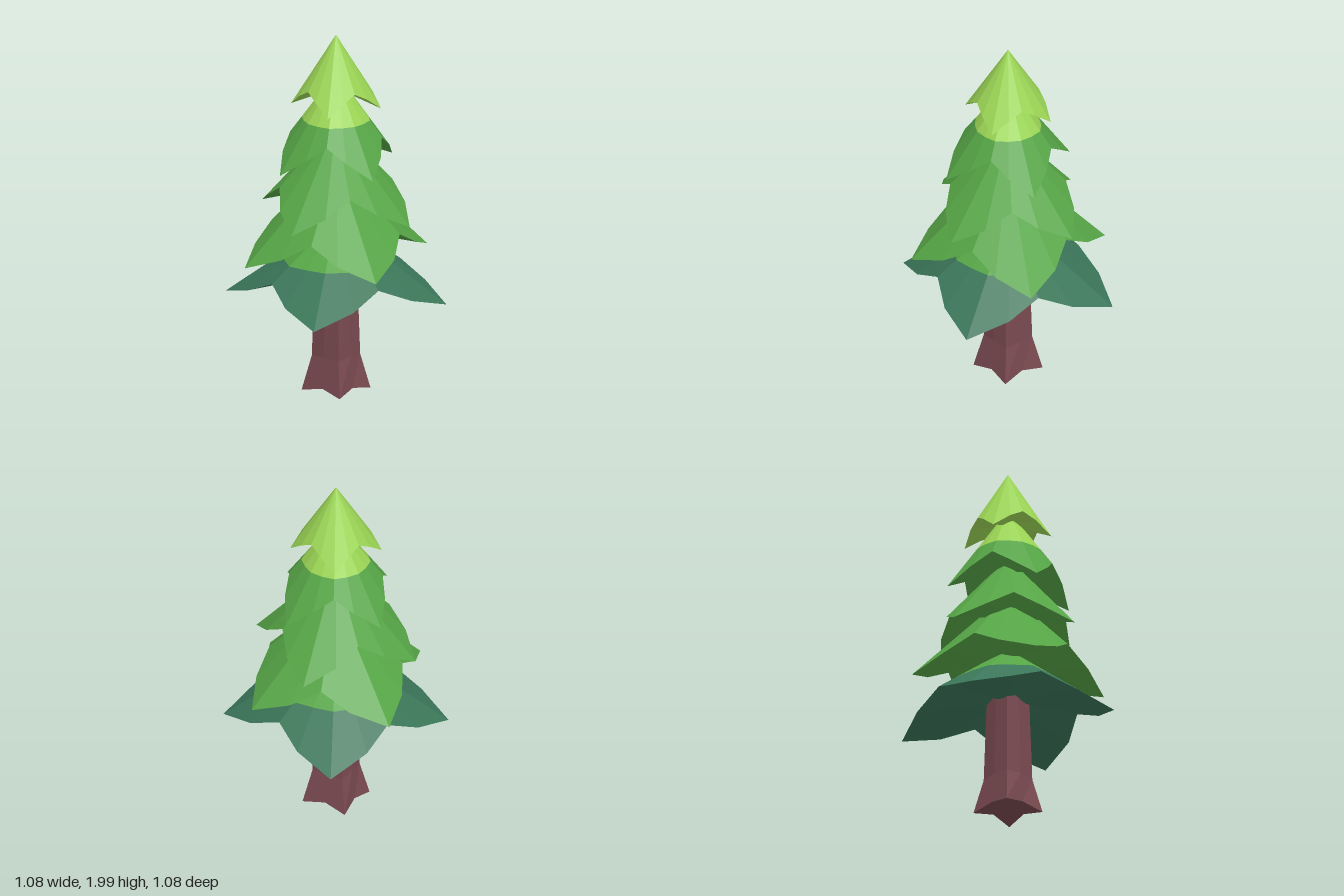
import * as THREE from 'three';

const paint = (name, color) => {
  const m = new THREE.MeshStandardMaterial({ color, flatShading: true });
  m.name = name;
  return m;
};

// Flat-shaded skin over a list of rings, ordered from top to bottom
function loft(rings) {
  const pos = [];
  const tri = (a, b, c) => {
    const n = b.clone().sub(a).cross(c.clone().sub(a));
    if (n.length() > 1e-9) for (const p of [a, b, c]) pos.push(p.x, p.y, p.z);
  };
  for (let r = 0; r < rings.length - 1; r++) {
    const t = rings[r], b = rings[r + 1];
    for (let i = 0; i < t.length; i++) {
      const j = (i + 1) % t.length;
      tri(t[i], b[j], b[i]);
      tri(t[i], t[j], b[j]);
    }
  }
  const g = new THREE.BufferGeometry();
  g.setAttribute('position', new THREE.Float32BufferAttribute(pos, 3));
  g.computeVertexNormals();
  return g;
}

// Ring with four-fold symmetry: one quarter given as [radius, y] pairs
function star(quarter, degrees) {
  const n = quarter.length * 4;
  return Array.from({ length: n }, (_, i) => {
    const [r, y] = quarter[i % quarter.length];
    const a = THREE.MathUtils.degToRad(degrees) + (i / n) * Math.PI * 2;
    return new THREE.Vector3(Math.cos(a) * r, y, Math.sin(a) * r);
  });
}

const point = (y, n) => Array.from({ length: n }, () => new THREE.Vector3(0, y, 0));

export function createModel() {
  const tree = new THREE.Group();
  tree.name = 'tree';
  const lime = paint('lime green', 0x9bd555);
  const green = paint('leaf green', 0x56a546);
  const teal = paint('deep teal green', 0x3b7659);
  const bark = paint('bark brown', 0x7a4a50);

  const add = (name, rings, material) => {
    const mesh = new THREE.Mesh(loft(rings), material);
    mesh.name = name;
    tree.add(mesh);
  };

  // Branch tiers: drooping four-pointed cones, each turned against the next
  const tiers = [
    { name: 'topTier', apex: 2.0, turn: -26.3, tip: [0.245, 1.6], side: [0.2, 1.67], notch: [0.18, 1.71], lower: lime },
    { name: 'upperTier', apex: 1.79, turn: 19.4, tip: [0.36, 1.27], side: [0.29, 1.365], notch: [0.25, 1.44], lower: green, upper: lime, cut: 1.53 },
    { name: 'middleTier', apex: 1.51, turn: -6, tip: [0.46, 0.995], side: [0.373, 1.08], notch: [0.31, 1.165], lower: green },
    { name: 'lowerTier', apex: 1.3, turn: 29.2, tip: [0.533, 0.755], side: [0.432, 0.83], notch: [0.365, 0.92], lower: green },
    { name: 'bottomTier', apex: 0.97, turn: -25.7, tip: [0.602, 0.52], side: [0.486, 0.59], notch: [0.41, 0.67], lower: teal, upper: green, cut: 0.75 },
  ];
  for (const t of tiers) {
    const rim = star([t.tip, t.side, t.notch, t.side], t.turn);
    const apex = point(t.apex, rim.length);
    const under = point(t.notch[1] - 0.01, rim.length);
    if (t.cut) {
      // Level colour change part-way down the slope
      const line = rim.map((p, i) => apex[i].clone().lerp(p, (t.apex - t.cut) / (t.apex - p.y)));
      add(t.name + 'Crown', [apex, line], t.upper);
      add(t.name + 'Skirt', [line, rim, under], t.lower);
    } else {
      add(t.name, [apex, rim, under], t.lower);
    }
  }

  // Eight-sided trunk flaring into four root points
  add('trunk', [
    star([[0.112, 0.72], [0.088, 0.72]], 47),
    star([[0.13, 0.2], [0.1, 0.21]], 47),
    star([[0.185, 0.008], [0.115, 0.035]], 47),
    point(0.03, 8),
  ], bark);

  return tree;
}
